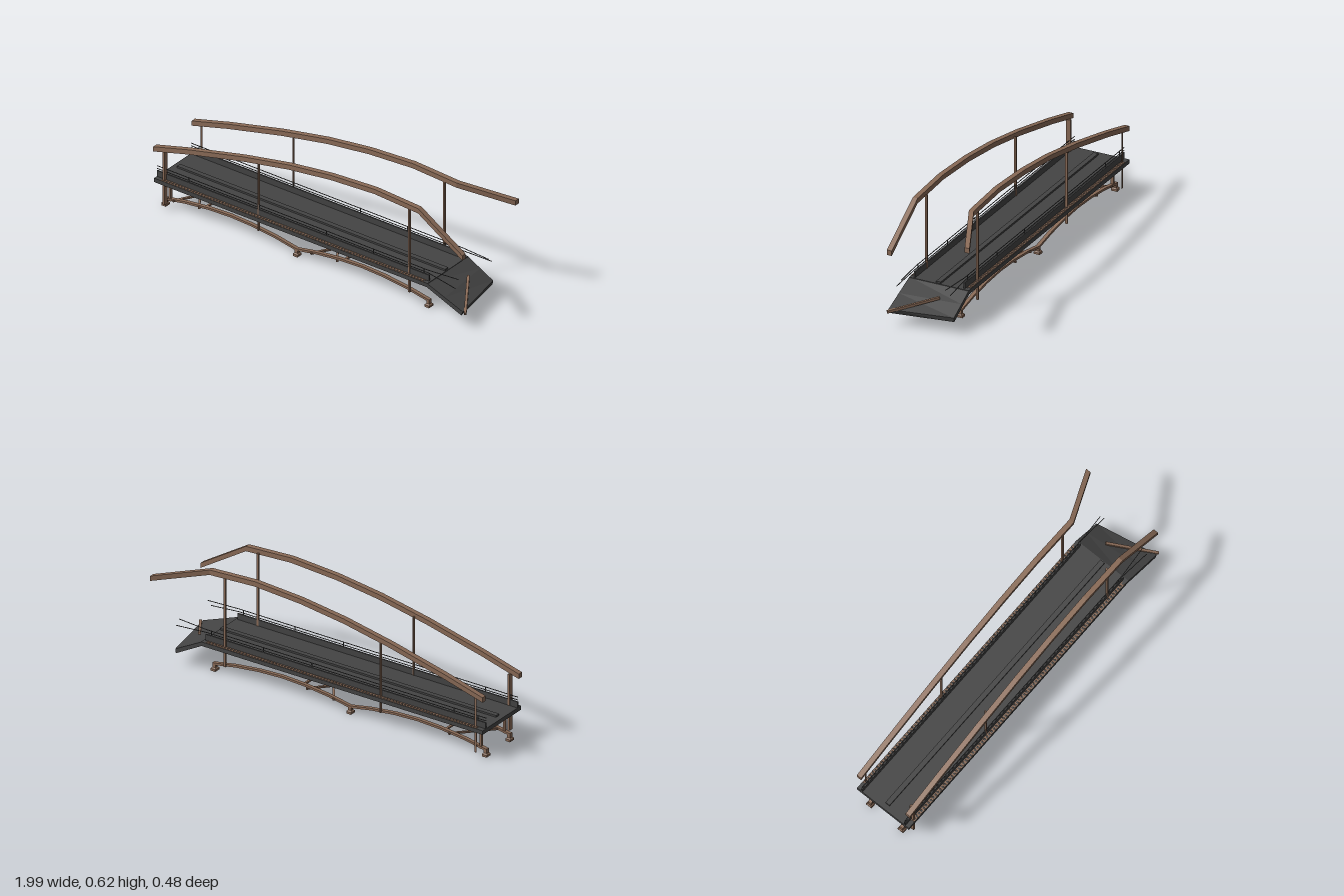
import * as THREE from 'three';

const wood = new THREE.MeshStandardMaterial({ color: 0x8a6b57 });
wood.name = 'weathered brown';
const asphalt = new THREE.MeshStandardMaterial({ color: 0x444444 });
asphalt.name = 'dark grey';
wood.flatShading = asphalt.flatShading = true;

// Loft rectangular sections [four corners each] into a closed solid
function loft(sections) {
  const pos = [], idx = [];
  sections.forEach((s) => s.forEach((p) => pos.push(...p)));
  for (let i = 0; i < sections.length - 1; i++) {
    for (let j = 0; j < 4; j++) {
      const a = i * 4 + j, b = i * 4 + (j + 1) % 4;
      idx.push(a, b, a + 4, b, b + 4, a + 4);
    }
  }
  const e = (sections.length - 1) * 4;
  idx.push(0, 2, 1, 0, 3, 2, e, e + 1, e + 2, e, e + 2, e + 3);
  const g = new THREE.BufferGeometry();
  g.setAttribute('position', new THREE.Float32BufferAttribute(pos, 3));
  g.setIndex(idx);
  const flat = g.toNonIndexed();
  flat.computeVertexNormals();
  return flat;
}

// Beam running along x: h is its height, w its width in z
function ribbon(points, h, w) {
  return loft(points.map(([x, y, z]) => [
    [x, y - h / 2, z - w / 2], [x, y + h / 2, z - w / 2],
    [x, y + h / 2, z + w / 2], [x, y - h / 2, z + w / 2],
  ]));
}

export function createModel() {
  const model = new THREE.Group();
  model.name = 'brokenBridge';

  const add = (name, geometry, material) => {
    const m = new THREE.Mesh(geometry, material);
    m.name = name;
    model.add(m);
    return m;
  };
  // Box given by its lower and upper corners
  const box = (name, mat, x0, y0, z0, x1, y1, z1) => add(name,
    new THREE.BoxGeometry(x1 - x0, y1 - y0, z1 - z0), mat)
    .position.set((x0 + x1) / 2, (y0 + y1) / 2, (z0 + z1) / 2);
  // Straight square bar between two points
  const bar = (name, mat, a, b, w, h = w) => {
    const p = new THREE.Vector3(...a), q = new THREE.Vector3(...b);
    const m = add(name, new THREE.BoxGeometry(w, h, p.distanceTo(q)), mat);
    m.position.copy(p).add(q).multiplyScalar(0.5);
    m.lookAt(q);
  };

  // Deck, centre strip and broken ramp
  box('deck', asphalt, -1, 0.155, -0.113, 0.745, 0.178, 0.23);
  box('centreStrip', asphalt, -0.97, 0.178, 0.05, 0.74, 0.188, 0.077);
  const rampSection = (t) => {
    const xb = 0.74 + 0.16 * t, xf = 0.74 + 0.22 * t;
    const top = 0.178 - 0.087 * t, low = 0.155 - 0.088 * t;
    return [[xb, low, -0.113], [xb + 0.004 * t, top, -0.113],
      [xf + 0.01 * t, top, 0.23], [xf, low, 0.23]];
  };
  add('fallenRamp', loft([0, 0.5, 1].map(rampSection)), asphalt);
  bar('fallenBeam', wood, [0.835, 0.15, 0.005], [0.985, 0.083, 0.23], 0.014);

  // Upper arches with broken ends
  const archLine = [[-1, 0.353], [-0.77, 0.416], [-0.43, 0.497], [-0.14, 0.553],
    [0.13, 0.588], [0.41, 0.605], [0.69, 0.59]];
  const sides = [
    { name: 'front', z: 0.223, end: [0.972, 0.412, 0.223], s: 1 },
    { name: 'back', z: -0.1, end: [0.972, 0.526, -0.225], s: -1 },
  ];
  for (const { name, z, end, s } of sides) {
    add(name + 'Arch', ribbon([...archLine.map(([x, y]) => [x, y, z]), end], 0.028, 0.028), wood);

    // Hangers between arch and lower frame
    const hz = s > 0 ? 0.201 : -0.093;
    box(name + 'Hanger', wood, -0.952, 0.035, hz - 0.006, -0.94, 0.355, hz + 0.014 * s + 0.006);
    box(name + 'Hanger', wood, -0.358, 0.085, hz - 0.006, -0.352, 0.51, hz + 0.006);
    box(name + 'Hanger', wood, 0.603, 0.067, hz - 0.006, 0.614, 0.59, hz + 0.006);

    // Curb and thin railing
    const cz = s > 0 ? 0.202 : -0.082;
    box(name + 'Curb', asphalt, -1, 0.178, cz - 0.004, 0.735, 0.212, cz + 0.004);
    for (const x of [-0.95, -0.8, -0.35, 0.08, 0.38, 0.7]) {
      box(name + 'RailPost', asphalt, x - 0.002, 0.21, cz - 0.002, x + 0.002, 0.24, cz + 0.002);
    }
    [0.222, 0.238].forEach((y, i) => {
      add(name + 'Rail', ribbon([[-1, y, cz], [0.73, y, cz],
        [0.91, y + (i ? 0.002 : -0.022 * (s > 0 ? 1 : 0.3)), cz + (i ? -0.015 : 0.012) * s]],
      0.003, 0.003), asphalt);
    });

    // Lattice of brown slats on the outer walkway
    const z0 = s > 0 ? 0.208 : -0.111;
    for (const dz of [0.001, 0.017]) {
      box(name + 'LatticeEdge', wood, -0.96, 0.178, z0 + dz, 0.72, 0.181, z0 + dz + 0.003);
    }
    for (let i = 0; i < 90; i++) {
      const x = -0.955 + i * 0.0186;
      box(name + 'LatticeSlat', wood, x, 0.178, z0 + 0.003, x + 0.008, 0.181, z0 + 0.018);
    }
  }

  // Lower frame: two arched bays on each side, standing on footings
  const bayLine = [[0, 0.038], [0.13, 0.062], [0.28, 0.079], [0.42, 0.085],
    [0.56, 0.079], [0.71, 0.062], [0.84, 0.038]];
  for (const z of [0.165, -0.045]) {
    for (const x0 of [-0.975, -0.135]) {
      add('lowerArch', ribbon(bayLine.map(([x, y]) => [x0 + x, y, z]), 0.012, 0.02), wood);
    }
    for (const x of [-0.975, -0.135, 0.705]) {
      box('footing', wood, x - 0.014, 0, z - 0.018, x + 0.014, 0.012, z + 0.018);
      const taper = add('footingTaper', new THREE.CylinderGeometry(0.014, 0.0235, 0.007, 4, 1, false, Math.PI / 4), wood);
      taper.position.set(x, 0.0155, z);
      box('footingColumn', wood, x - 0.009, 0.018, z - 0.01, x + 0.009, 0.044, z + 0.01);
    }
    box('endStrut', wood, -0.95, 0.035, z - 0.008, -0.938, 0.155, z + 0.008);
  }

  // Crossed braces and cross beams between the lower arches
  for (const x of [-0.92, -0.04]) {
    const lo = x < -0.5 ? 0.047 : 0.052, hi = 0.067;
    bar('crossBrace', wood, [x, lo, 0.18], [x + 0.17, hi, -0.058], 0.012, 0.01);
    bar('crossBrace', wood, [x, lo, -0.058], [x + 0.17, hi, 0.18], 0.012, 0.01);
    bar('crossBeam', wood, [x + 0.2, 0.074, 0.165], [x + 0.2, 0.074, -0.045], 0.012, 0.01);
  }

  return model;
}
